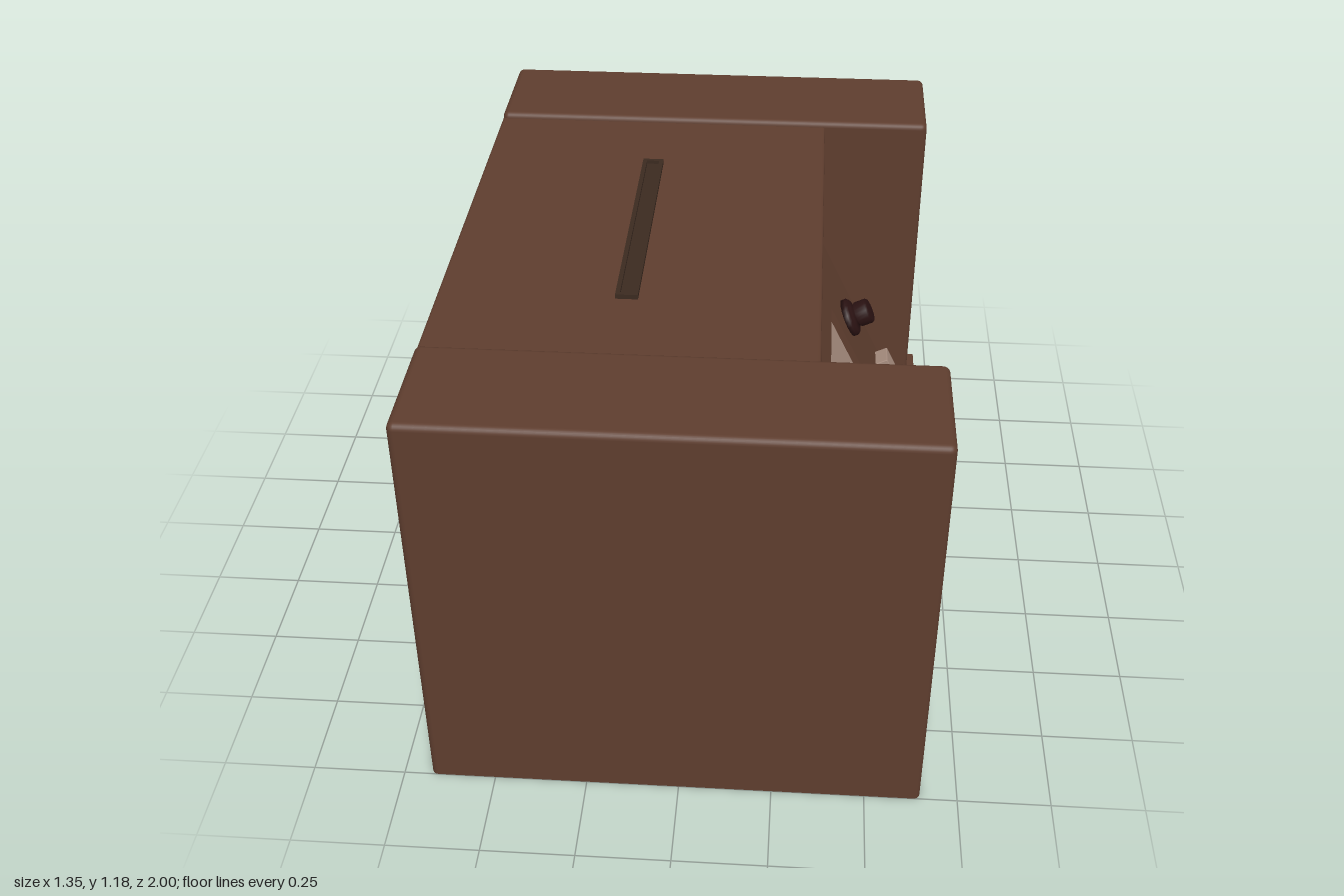
import * as THREE from 'three';
import { RoundedBoxGeometry } from 'three/addons/geometries/RoundedBoxGeometry.js';

const material = (name, color) => Object.assign(new THREE.MeshStandardMaterial({ color }), { name });

export function createModel() {
  const wood = material('brown wood', 0x5e3d2e);
  const dark = material('dark slot', 0x3b2a20);
  const cloth = material('pale grille', 0xcfcbc7);
  const cream = material('beige plastic', 0xa78d7f);
  const knobMat = material('dark knob', 0x2a1212);

  const model = new THREE.Group();
  model.name = 'tabletopRadio';
  const add = (parent, name, geometry, mat, x = 0, y = 0, z = 0) => {
    const mesh = new THREE.Mesh(geometry, mat);
    mesh.name = name;
    mesh.position.set(x, y, z);
    parent.add(mesh);
    return mesh;
  };
  const rect = (Type, w, h, y = 0) => new Type([
    [-w / 2, y - h / 2], [w / 2, y - h / 2], [w / 2, y + h / 2], [-w / 2, y + h / 2],
  ].map(([a, b]) => new THREE.Vector2(a, b)));

  // Side cabinets: rounded above, cut flat at the foot
  const r = 0.018;
  for (const side of [-1, 1]) {
    const g = new RoundedBoxGeometry(1.325, 1.18 + r, 0.345, 3, r);
    g.translate(0, (1.18 - r) / 2, 0);
    const p = g.attributes.position;
    for (let i = 0; i < p.count; i++) p.setY(i, Math.max(0, p.getY(i)));
    add(model, side > 0 ? 'leftCabinet' : 'rightCabinet', g, wood, -0.0125, 0, side * 0.8275);
  }

  // Central body, stepped back behind the control panel
  const profile = new THREE.Shape([
    [-0.675, 0], [0.56, 0], [0.55, 0.27], [0.307, 0.76], [0.307, 1.15], [-0.675, 1.15],
  ].map(([x, y]) => new THREE.Vector2(x, y)));
  const core = new THREE.ExtrudeGeometry(profile, { depth: 1.36, bevelEnabled: false });
  add(model, 'centralBody', core.translate(0, 0, -0.68), wood);
  add(model, 'topBoard', new RoundedBoxGeometry(1.01, 0.02, 1.34, 2, 0.008), wood, -0.17, 1.153, 0);
  add(model, 'speakerGrille', new THREE.BoxGeometry(0.03, 0.39, 1.34), cloth, 0.315, 0.95, 0);
  add(model, 'plinth', new RoundedBoxGeometry(0.275, 0.27, 1.5, 2, 0.004), wood, 0.5375, 0.135, 0);

  // Raised slot on the top
  const rim = rect(THREE.Shape, 0.06, 0.77);
  rim.holes.push(rect(THREE.Path, 0.036, 0.746));
  const rimGeo = new THREE.ExtrudeGeometry(rim, { depth: 0.014, bevelEnabled: false });
  add(model, 'slotRim', rimGeo.rotateX(-Math.PI / 2), dark, -0.175, 1.162, 0);
  add(model, 'slotFloor', new THREE.BoxGeometry(0.04, 0.004, 0.75), dark, -0.175, 1.164, 0);

  // Sloped control panel: local z points outward, local y up the slope
  const tilt = Math.atan2(0.24, 0.49), midY = 0.515;
  const slope = (y) => (y - midY) / Math.cos(tilt);
  const panel = new THREE.Group();
  panel.name = 'controlPanel';
  panel.rotation.set(-tilt, Math.PI / 2, 0, 'YXZ');
  panel.position.set(0.46, midY, 0);
  model.add(panel);

  const board = rect(THREE.Shape, 1.34, 0.546);
  board.holes.push(rect(THREE.Path, 0.74, 0.262, slope(0.565)));
  const boardGeo = new THREE.ExtrudeGeometry(board, { depth: 0.03, bevelEnabled: false });
  add(panel, 'panelBoard', boardGeo, wood, 0, 0, -0.03);
  add(panel, 'dialWindow', new THREE.BoxGeometry(0.74, 0.262, 0.008), cream, 0, slope(0.565), -0.024);

  // Knobs: wide flange with a narrower grip
  const knobProfile = [[0, 0], [0.062, 0], [0.062, 0.014], [0.054, 0.022], [0.036, 0.024],
    [0.036, 0.032], [0.041, 0.036], [0.041, 0.072], [0.036, 0.078], [0, 0.078]];
  const addKnob = (name, x, y, scale) => {
    const g = new THREE.LatheGeometry(knobProfile.map(([a, b]) => new THREE.Vector2(a, b)), 20);
    g.rotateX(Math.PI / 2).scale(scale, scale, scale);
    add(panel, name, g, knobMat, x, slope(y), 0);
  };
  for (const side of [-1, 1]) {
    addKnob('largeKnob', side * 0.5, 0.565, 1);
    addKnob('smallKnob', side * 0.355, 0.322, 0.74);
  }

  // Row of six keys and a separate power key
  const key = (w) => new RoundedBoxGeometry(w, 0.08, 0.05, 2, 0.003);
  for (let i = 0; i < 6; i++) {
    add(panel, 'presetKey', key(0.072), cream, (i - 2.5) * 0.0878, slope(0.3195), 0.017);
  }
  add(panel, 'powerKey', key(0.076), cream, 0.588, slope(0.3195), 0.017);

  return model;
}
